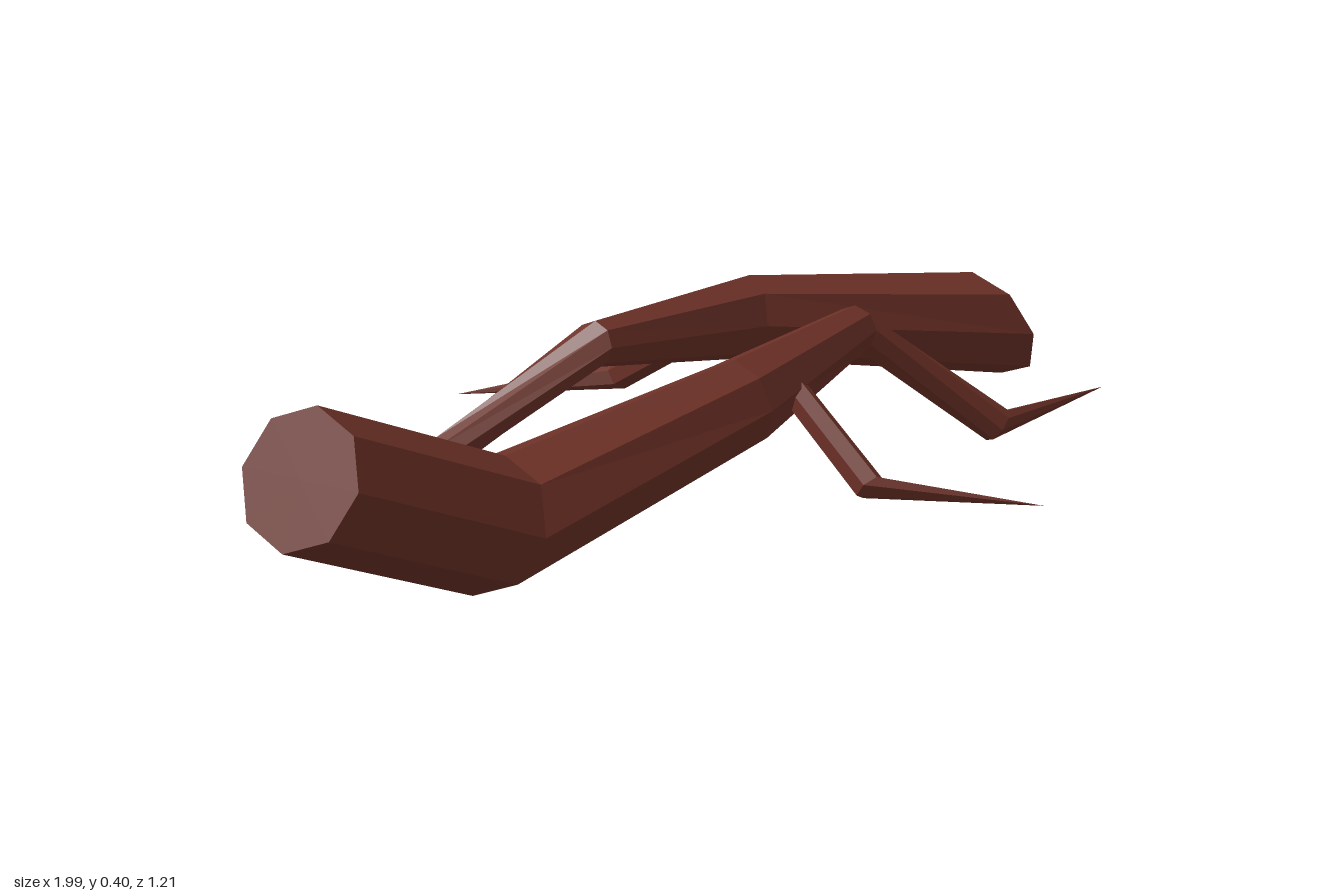
import * as THREE from 'three';

const V = (x, y, z) => new THREE.Vector3(x, y, z);

// Faceted limb through nodes [x, y, z, radius]; the last node is a sharp tip.
// Each ring is square to the segment arriving at it.
function limbGeometry(nodes, sides, startNormal) {
  const pts = nodes.map(([x, y, z]) => V(x, y, z));
  const rings = pts.slice(0, -1).map((p, i) => {
    const n = i > 0 ? p.clone().sub(pts[i - 1])
      : startNormal ? startNormal.clone() : pts[1].clone().sub(p);
    n.normalize();
    const u = V(0, 1, 0).addScaledVector(n, -n.y).normalize();
    const v = n.clone().cross(u);
    return Array.from({ length: sides }, (_, j) => {
      const a = (j / sides) * Math.PI * 2;
      return p.clone()
        .addScaledVector(u, Math.cos(a) * nodes[i][3])
        .addScaledVector(v, Math.sin(a) * nodes[i][3]);
    });
  });
  const tip = pts[pts.length - 1];
  const tris = [];
  for (let j = 0; j < sides; j++) {
    const k = (j + 1) % sides;
    tris.push(pts[0], rings[0][k], rings[0][j]); // sawn end
    for (let i = 0; i < rings.length - 1; i++) {
      const [a, b, c, d] = [rings[i][j], rings[i][k], rings[i + 1][k], rings[i + 1][j]];
      tris.push(a, b, c, a, c, d);
    }
    const last = rings[rings.length - 1];
    tris.push(last[j], last[k], tip);
  }
  const geo = new THREE.BufferGeometry().setFromPoints(tris);
  geo.computeVertexNormals(); // unshared corners give flat facets
  return geo;
}

export function createModel() {
  const group = new THREE.Group();
  const bark = new THREE.MeshStandardMaterial({ color: 0x6b3026 });
  bark.name = 'redBrownBark';

  const add = (name, nodes, sides, startNormal) => {
    const mesh = new THREE.Mesh(limbGeometry(nodes, sides, startNormal), bark);
    mesh.name = name;
    group.add(mesh);
    return mesh;
  };

  // Long branch, thick end to tip
  const branch = [
    [-0.94, 0.305, 0.5, 0.115],
    [-0.525, 0.115, 0.31, 0.115],
    [0.02, 0.21, 0.175, 0.077],
    [0.375, 0.245, -0.028, 0.041],
    [0.625, 0.05, 0.05, 0.033],
    [0.99, 0.022, -0.145, 0],
  ];
  add('longBranch', branch, 8);

  // Short branch: the same limb without its first length, turned around
  const cut = V(0.415, -0.19, -0.19);
  const short = add('shortBranch', branch.slice(1), 8, cut);
  short.rotation.y = THREE.MathUtils.degToRad(-189.3);
  short.position.set(0.297, 0, -0.125);

  // Twigs: root, elbow, tip
  const twigs = {
    longBranchFrontTwig: [[0.135, 0.21, 0.16], [0.175, 0.08, 0.34], [0.425, 0.05, 0.49]],
    longBranchBackTwig: [[-0.22, 0.17, 0.2], [-0.285, 0.08, 0.065], [-0.57, 0.05, 0.025 - 0.05]],
    shortBranchTwig: [[0.215, 0.2, -0.29], [0.15, 0.08, -0.48], [-0.12, 0.05, -0.605]],
  };
  const radii = [0.025, 0.027, 0];
  for (const [name, path] of Object.entries(twigs)) {
    add(name, path.map((p, i) => [...p, radii[i]]), 6);
  }
  return group;
}
